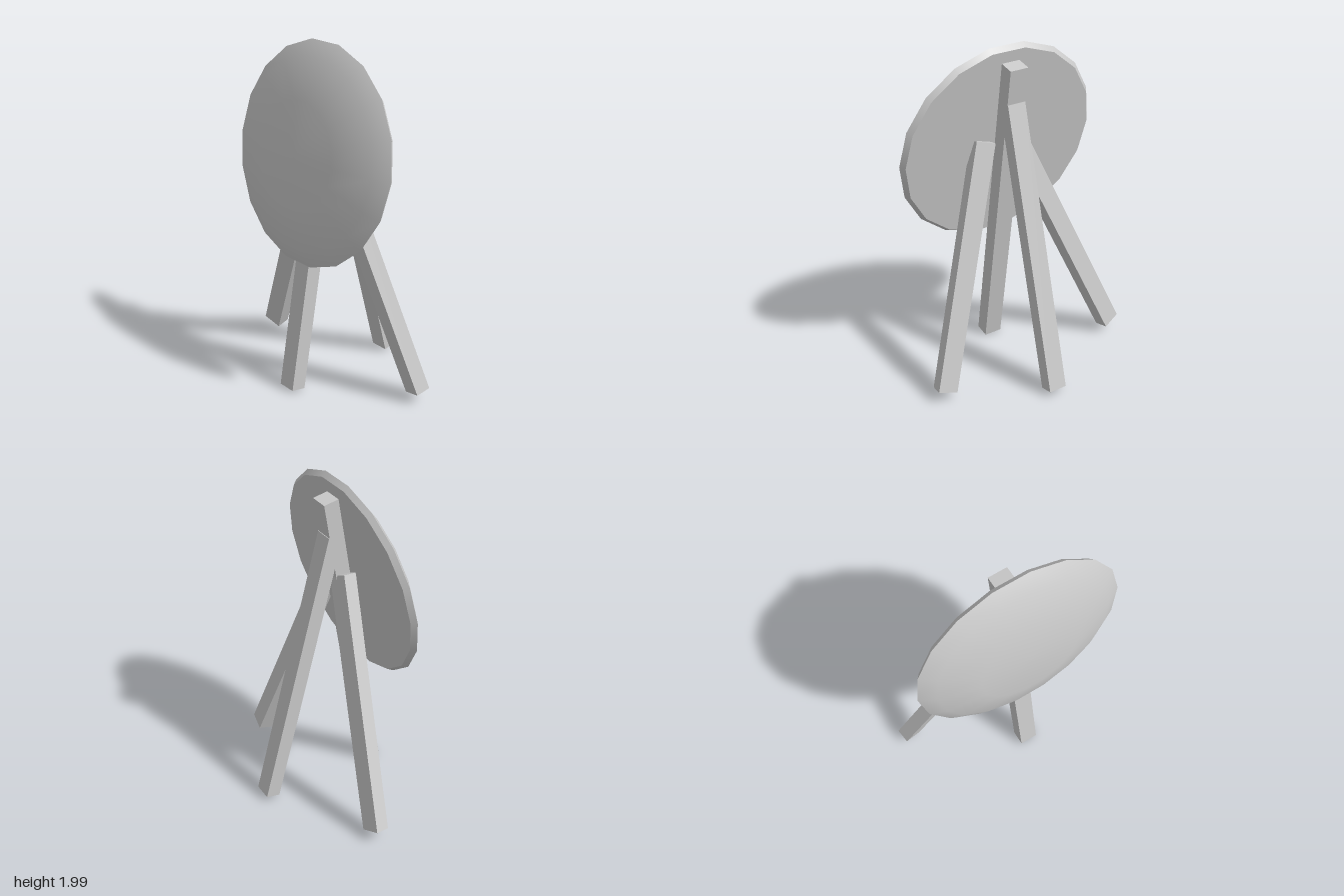
import * as THREE from 'three';

const material = new THREE.MeshStandardMaterial({ color: 0xcccccc, side: THREE.DoubleSide });

// Square-cut beam between two end centres; yaw turns its wide face (z per unit x)
function beam(name, from, to, width, depth, yaw = 0) {
  const a = new THREE.Vector3(...from), b = new THREE.Vector3(...to);
  const y = b.clone().sub(a), length = y.length();
  y.normalize();
  const x = new THREE.Vector3(1, -(y.x + yaw * y.z) / y.y, yaw).normalize();
  const z = new THREE.Vector3().crossVectors(x, y);
  const mesh = new THREE.Mesh(new THREE.BoxGeometry(width, length, depth), material);
  mesh.name = name;
  mesh.quaternion.setFromRotationMatrix(new THREE.Matrix4().makeBasis(x, y, z));
  mesh.position.copy(a).add(b).multiplyScalar(0.5);
  return mesh;
}

// One turned surface of the target, profile given as [radius, height] from back to front
function turned(name, profile) {
  const points = profile.map(([r, h]) => new THREE.Vector2(r, h));
  const mesh = new THREE.Mesh(new THREE.LatheGeometry(points, 18, Math.PI / 2), material);
  mesh.name = name;
  return mesh;
}

export function createModel() {
  const model = new THREE.Group();
  model.name = 'targetOnStand';

  // Domed round target, leaning back; separate surfaces keep the rim crisp
  const target = new THREE.Group();
  target.name = 'target';
  target.add(
    turned('targetBack', [[0, -0.03], [0.597, -0.03]]),
    turned('targetRim', [[0.597, -0.03], [0.62, 0]]),
    turned('targetFace', [[0.62, 0], [0.53, 0.051], [0.3, 0.118], [0, 0.12]])
  );
  target.position.set(0.042, 1.397, 0.22);
  target.rotation.x = Math.PI / 2 - 0.172;
  model.add(target);

  // Stand: long front post, rear prop and two splayed side legs
  model.add(
    beam('frontPost', [0.035, 0.012, 0.37], [0.035, 1.903, 0.043], 0.11, 0.09),
    beam('rearLeg', [0.035, 0.03, -0.367], [0.035, 1.68, 0.072], 0.11, 0.088),
    beam('leftLeg', [0.605, 0.065, -0.083], [0.16, 1.44, 0.182], 0.115, 0.088, 0.18),
    beam('rightLeg', [-0.61, 0.068, -0.02], [-0.01, 1.44, 0.127], 0.115, 0.088, -0.24)
  );
  return model;
}
